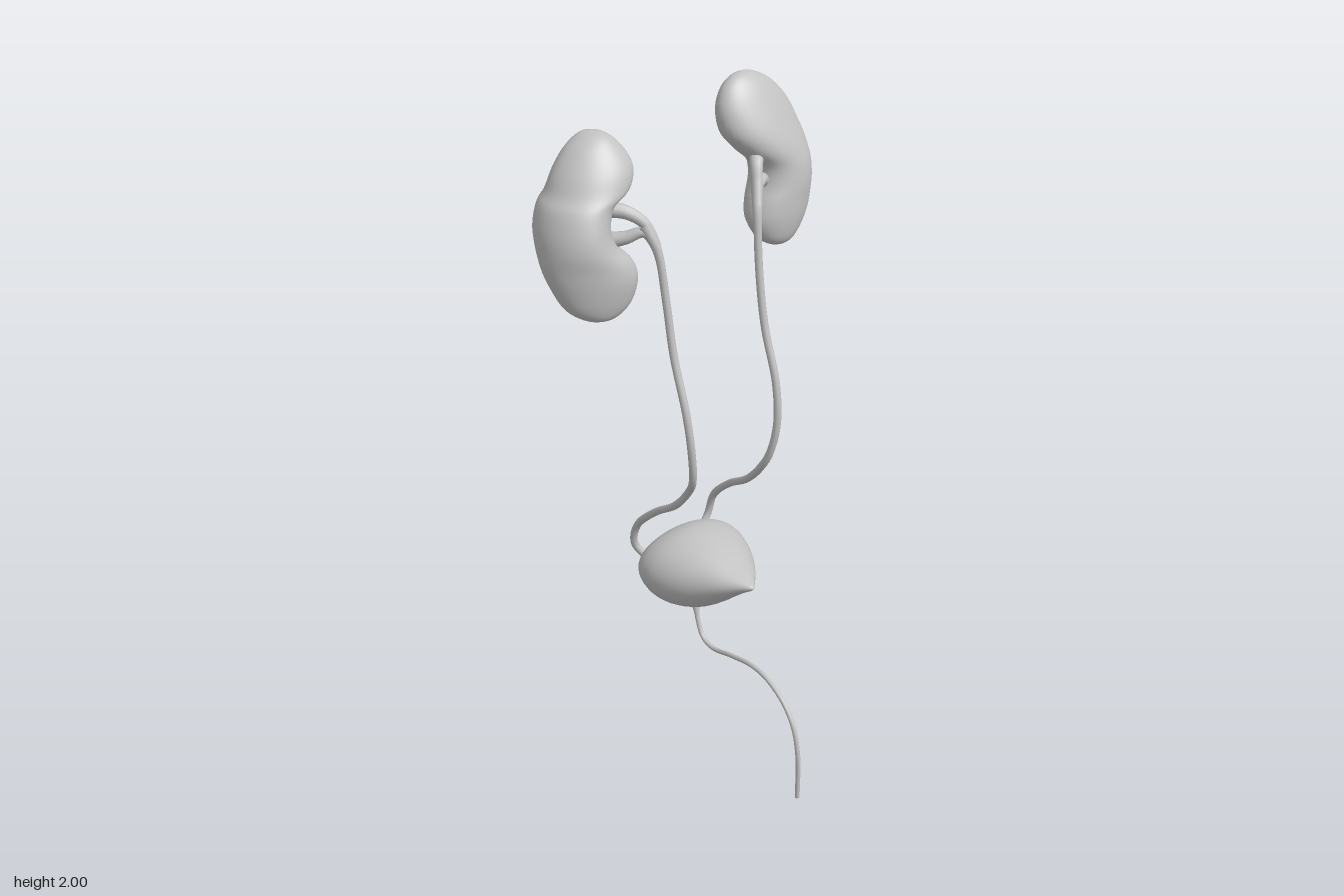
import * as THREE from 'three';

const tissue = new THREE.MeshStandardMaterial({ color: 0xc2c2c2 });
tissue.name = 'pale grey';

const v = (p) => new THREE.Vector3(p[0], p[1], p[2]);

function part(name, geometry) {
  const mesh = new THREE.Mesh(geometry, tissue);
  mesh.name = name;
  return mesh;
}

// Smooth closed body through elliptical sections.
// Each section: centre [x, y, z] and two radii; place() puts a ring point in space.
function loft(sections, place, steps = 56, sides = 40) {
  const centres = new THREE.CatmullRomCurve3(sections.map(s => v(s.c)), false, 'catmullrom');
  const radii = new THREE.CatmullRomCurve3(sections.map(s => v([...s.r, 0])), false, 'catmullrom');
  const pos = [], idx = [];
  for (let i = 0; i <= steps; i++) {
    const c = centres.getPoint(i / steps), r = radii.getPoint(i / steps);
    for (let j = 0; j < sides; j++) {
      const a = j / sides * Math.PI * 2;
      pos.push(...place(c, Math.cos(a) * Math.max(r.x, 0), Math.sin(a) * Math.max(r.y, 0)));
      if (i === steps) continue;
      const p = i * sides + j, q = i * sides + (j + 1) % sides;
      idx.push(p, p + sides, q, q, p + sides, q + sides);
    }
  }
  const g = new THREE.BufferGeometry();
  g.setAttribute('position', new THREE.Float32BufferAttribute(pos, 3));
  g.setIndex(idx);
  g.computeVertexNormals();
  return g;
}

// Tube that widens from r to rStart over the first part of its length.
function duct(points, r, rStart = r, flare = 0.1, steps = 100) {
  const sides = 12;
  const g = new THREE.TubeGeometry(new THREE.CatmullRomCurve3(points.map(v)), steps, r, sides);
  const p = g.attributes.position, n = g.attributes.normal;
  for (let i = 0; i < p.count; i++) {
    const t = Math.floor(i / (sides + 1)) / steps;
    const k = (rStart - r) * Math.max(0, 1 - t / flare) ** 1.5;
    p.setXYZ(i, p.getX(i) + n.getX(i) * k, p.getY(i) + n.getY(i) * k, p.getZ(i) + n.getZ(i) * k);
  }
  return g;
}

// Kidney rows: height, inner x, outer x, front z, back z; yaw turns the inner edge forward.
function kidney(rows, yaw) {
  const sections = rows.map(([y, xi, xo, zf, zb]) => ({
    c: [(xi + xo) / 2, y, (zf + zb) / 2],
    r: [Math.abs(xi - xo) / 2, (zf - zb) / 2],
  }));
  return loft(sections, (c, a, b) => [c.x + a, c.y, c.z + b + a * yaw]);
}

export function createModel() {
  const model = new THREE.Group();
  model.name = 'urinaryTract';

  // Kidneys
  model.add(part('rightKidney', kidney([
    [1.445, -0.30, -0.30, -0.145, -0.145],
    [1.455, -0.255, -0.345, -0.115, -0.18],
    [1.49, -0.21, -0.39, -0.10, -0.21],
    [1.55, -0.185, -0.417, -0.09, -0.25],
    [1.60, -0.195, -0.428, -0.09, -0.28],
    [1.65, -0.237, -0.429, -0.095, -0.305],
    [1.70, -0.247, -0.423, -0.105, -0.322],
    [1.755, -0.225, -0.405, -0.12, -0.325],
    [1.79, -0.17, -0.38, -0.13, -0.32],
    [1.84, -0.15, -0.353, -0.15, -0.315],
    [1.89, -0.17, -0.312, -0.185, -0.305],
    [1.92, -0.20, -0.268, -0.22, -0.29],
    [1.928, -0.235, -0.235, -0.26, -0.26],
  ], 0.2)));
  model.add(part('leftKidney', kidney([
    [1.515, 0.292, 0.292, -0.135, -0.135],
    [1.525, 0.255, 0.335, -0.108, -0.17],
    [1.55, 0.223, 0.368, -0.093, -0.20],
    [1.60, 0.203, 0.405, -0.085, -0.235],
    [1.65, 0.213, 0.42, -0.085, -0.252],
    [1.70, 0.237, 0.427, -0.088, -0.268],
    [1.75, 0.236, 0.427, -0.095, -0.28],
    [1.80, 0.185, 0.42, -0.105, -0.287],
    [1.85, 0.147, 0.405, -0.122, -0.29],
    [1.91, 0.14, 0.378, -0.15, -0.285],
    [1.96, 0.16, 0.333, -0.178, -0.272],
    [1.99, 0.195, 0.28, -0.205, -0.25],
    [2.0, 0.237, 0.237, -0.23, -0.23],
  ], -0.1)));

  // Funnel branches joining each kidney to its ureter
  [
    ['rightUpperPelvis', [[-0.26, 1.745, -0.17], [-0.215, 1.735, -0.135], [-0.175, 1.70, -0.105], [-0.157, 1.64, -0.082]]],
    ['rightLowerPelvis', [[-0.26, 1.655, -0.17], [-0.22, 1.665, -0.135], [-0.18, 1.68, -0.105], [-0.157, 1.64, -0.082]]],
    ['leftUpperPelvis', [[0.25, 1.785, -0.17], [0.215, 1.775, -0.135], [0.198, 1.725, -0.11], [0.18, 1.67, -0.085]]],
    ['leftLowerPelvis', [[0.26, 1.70, -0.16], [0.225, 1.72, -0.13], [0.198, 1.705, -0.11], [0.18, 1.67, -0.085]]],
  ].forEach(([name, pts]) => model.add(part(name, duct(pts, 0.014, 0.024, 0.8, 24))));

  // Ureters
  model.add(part('rightUreter', duct([
    [-0.18, 1.70, -0.105], [-0.157, 1.63, -0.08], [-0.147, 1.50, -0.06], [-0.145, 1.34, -0.03],
    [-0.143, 1.18, 0.022], [-0.137, 1.07, 0.036], [-0.123, 0.97, 0.022], [-0.106, 0.91, -0.02],
    [-0.107, 0.84, -0.08], [-0.11, 0.77, -0.18], [-0.115, 0.69, -0.262], [-0.112, 0.62, -0.283],
    [-0.085, 0.575, -0.268], [-0.05, 0.55, -0.255],
  ], 0.011, 0.017)));
  model.add(part('leftUreter', duct([
    [0.198, 1.715, -0.11], [0.18, 1.66, -0.085], [0.168, 1.50, -0.06], [0.165, 1.34, -0.03],
    [0.166, 1.18, 0.022], [0.162, 1.06, 0.034], [0.152, 0.96, 0.015], [0.146, 0.90, -0.02],
    [0.154, 0.83, -0.09], [0.165, 0.765, -0.19], [0.167, 0.69, -0.268], [0.16, 0.62, -0.287],
    [0.125, 0.575, -0.28], [0.075, 0.55, -0.262],
  ], 0.011, 0.017)));

  // Bladder rows: z, half width, top y, bottom y
  const bladder = [
    [0.112, 0, 0.607, 0.607], [0.105, 0.01, 0.614, 0.598], [0.075, 0.036, 0.625, 0.577],
    [0.037, 0.068, 0.638, 0.547], [-0.016, 0.106, 0.657, 0.503], [-0.07, 0.139, 0.673, 0.466],
    [-0.13, 0.163, 0.684, 0.446], [-0.18, 0.17, 0.682, 0.447], [-0.225, 0.16, 0.663, 0.47],
    [-0.258, 0.128, 0.63, 0.502], [-0.276, 0.075, 0.60, 0.535], [-0.281, 0, 0.568, 0.568],
  ].map(([z, w, top, bottom]) => ({ c: [0.02, (top + bottom) / 2, z], r: [w, (top - bottom) / 2] }));
  model.add(part('bladder', loft(bladder, (c, a, b) => [c.x + a, c.y + b, c.z])));

  // Urethra with flared neck and closed tip
  model.add(part('urethra', duct([
    [0.02, 0.475, -0.18], [0.02, 0.435, -0.166], [0.02, 0.37, -0.153], [0.02, 0.318, -0.127],
    [0.02, 0.304, -0.08], [0.02, 0.325, 0.01], [0.02, 0.343, 0.11], [0.02, 0.335, 0.18],
    [0.02, 0.295, 0.255], [0.02, 0.235, 0.302], [0.02, 0.15, 0.324], [0.02, 0, 0.326],
  ], 0.007, 0.035, 0.11)));
  const tip = part('urethraTip', new THREE.CircleGeometry(0.007, 12).rotateX(Math.PI / 2));
  tip.position.set(0.02, 0, 0.326);
  model.add(tip);

  return model;
}
